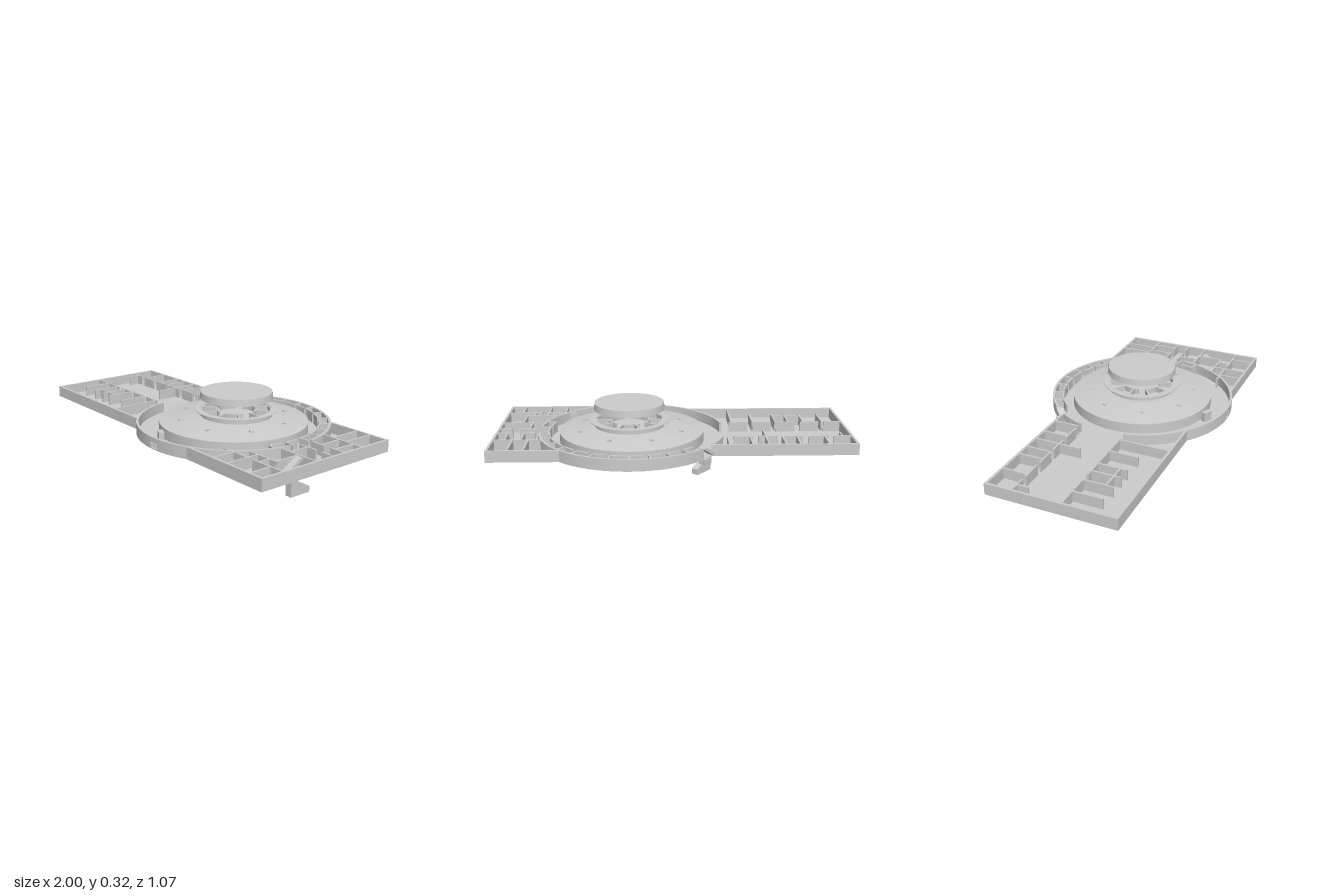
import * as THREE from 'three';

const mat = new THREE.MeshStandardMaterial({ color: 0xcccccc, side: THREE.DoubleSide });
const CX = 0.235, R = 0.533;            // centre and radius of the round hall
const FLOOR = 0.093, WALL_TOP = 0.157;  // slab underside and wall height
const rad = Math.PI / 180;

function add(parent, name, geo) {
  const mesh = new THREE.Mesh(geo, mat);
  mesh.name = name;
  parent.add(mesh);
  return mesh;
}

// Extrude a plan drawn in (x, -z) upwards from y0 to y1
function plan(parent, name, shape, y0, y1, curveSegments = 48) {
  const geo = new THREE.ExtrudeGeometry(shape, { depth: y1 - y0, bevelEnabled: false, curveSegments });
  geo.rotateX(-Math.PI / 2).translate(0, y0, 0);
  return add(parent, name, geo);
}

// Straight wall between two plan points (x, z)
function wall(parent, name, x1, z1, x2, z2, t = 0.01, y0 = FLOOR, y1 = WALL_TOP) {
  const geo = new THREE.BoxGeometry(Math.hypot(x2 - x1, z2 - z1), y1 - y0, t);
  const mesh = add(parent, name, geo);
  mesh.position.set((x1 + x2) / 2, (y0 + y1) / 2, (z1 + z2) / 2);
  mesh.rotation.y = -Math.atan2(z2 - z1, x2 - x1);
}

// Curved wall; angles in degrees, counter-clockwise from +x with the back at 90
function arcWall(parent, name, r, a0, a1, t = 0.012, y0 = FLOOR, y1 = WALL_TOP, cx = CX, cz = 0) {
  const s = new THREE.Shape();
  s.absarc(cx, -cz, r, a0 * rad, a1 * rad, false);
  s.absarc(cx, -cz, r - t, a1 * rad, a0 * rad, true);
  plan(parent, name, s, y0, y1);
}

function radialWall(parent, name, a, r0, r1, y0 = FLOOR, y1 = WALL_TOP, cx = CX, cz = 0) {
  const c = Math.cos(a * rad), s = Math.sin(a * rad);
  wall(parent, name, cx + r0 * c, cz - r0 * s, cx + r1 * c, cz - r1 * s, 0.01, y0, y1);
}

// Stair: lower flight below the slab, landing beside it, upper flight inside
function stair(parent, name, x, z, angle) {
  const g = new THREE.Group();
  g.name = name;
  const flight = (label, pts, zOff) => {
    const shape = new THREE.Shape(pts.map(p => new THREE.Vector2(...p)));
    const geo = new THREE.ExtrudeGeometry(shape, { depth: 0.037, bevelEnabled: false });
    add(g, label, geo.translate(0, 0, zOff));
  };
  flight('lowerFlight', [[0, 0], [0.12, 0], [0.12, 0.03], [0, 0.095]], 0);
  flight('landing', [[0.06, 0.065], [0.12, 0.065], [0.12, 0.095], [0.06, 0.095]], -0.046);
  flight('upperFlight', [[0, 0.095], [0.03, 0.095], [0.12, 0.15], [0.12, 0.157], [0.1, 0.157]], -0.046);
  g.position.set(x, 0, z);
  g.rotation.y = angle;
  parent.add(g);
}

export function createModel() {
  const model = new THREE.Group();
  model.name = 'building';

  // Floor slab: two offset wings joined by the round hall
  const WL = { back: -0.306, front: 0.41 }, WR = { back: -0.38, front: 0.487 };
  const dx = z => Math.sqrt(R * R - z * z);
  const ang = (z, side) => Math.atan2(-z, side * dx(z));
  const slab = new THREE.Shape();
  slab.moveTo(-1, -WL.front);
  slab.lineTo(CX - dx(WL.front), -WL.front);
  slab.absarc(CX, 0, R, ang(WL.front, -1), ang(WR.front, 1), false);
  slab.lineTo(1, -WR.front);
  slab.lineTo(1, -WR.back);
  slab.lineTo(CX + dx(WR.back), -WR.back);
  slab.absarc(CX, 0, R, ang(WR.back, 1), ang(WL.back, -1), false);
  slab.lineTo(-1, -WL.back);
  plan(model, 'floorSlab', slab, FLOOR, FLOOR + 0.006);

  // Outer walls of the wings
  const t = 0.014, h = t / 2;
  const outer = new THREE.Group();
  outer.name = 'wingOuterWalls';
  model.add(outer);
  for (const [w, s] of [[WL, -1], [WR, 1]]) {
    wall(outer, 'endWall', s * (1 - h), w.back, s * (1 - h), w.front, t);
    wall(outer, 'backWall', s, w.back + h, CX + s * dx(w.back), w.back + h, t);
    wall(outer, 'frontWall', s, w.front - h, CX + s * dx(w.front), w.front - h, t);
  }

  // Ring wall of the hall, open towards the corridors, entrance and back stair
  const hall = new THREE.Group();
  hall.name = 'roundHall';
  model.add(hall);
  for (const [a0, a1] of [[8, 137], [147, 163], [192, 267], [273, 352]])
    arcWall(hall, 'ringWall', R, a0, a1, t);
  wall(hall, 'entranceLintel', CX - 0.03, R - 0.007, CX + 0.03, R - 0.007, t, 0.132, WALL_TOP);
  for (const x of [-0.012, 0.012]) wall(hall, 'entranceDoor', CX + x, 0.5, CX + x, 0.528, 0.006, FLOOR, 0.125);

  // Inner ring of rooms along the back
  for (let a = -18; a < 130; a += 12) {
    arcWall(hall, 'innerRingWall', 0.475, a, a + 9, 0.01);
    radialWall(hall, 'roomDivider', a, 0.47, 0.525);
  }
  const kiosk = add(hall, 'kiosk', new THREE.BoxGeometry(0.055, 0.055, 0.028));
  kiosk.position.set(0.157, 0.125, 0.432);
  kiosk.rotation.y = -0.45;

  // Left wing: corridor between two rows of rooms
  const left = new THREE.Group();
  left.name = 'leftWingRooms';
  model.add(left);
  for (let i = 0; i < 5; i++) {
    const x = -1 + i * 0.14;
    wall(left, 'frontCorridorWall', x, 0.115, x + 0.11, 0.115);
    wall(left, 'backCorridorWall', x, -0.155, x + 0.11, -0.155);
  }
  for (const x of [-0.88, -0.77, -0.68, -0.605, -0.47]) wall(left, 'frontDivider', x, 0.115, x, 0.28);
  wall(left, 'frontDivider', -0.345, 0.115, -0.345, 0.405);
  wall(left, 'frontRoomWall', -0.77, 0.24, -0.605, 0.24);
  for (const x of [-0.84, -0.685, -0.605, -0.425, -0.3]) wall(left, 'backDivider', x, -0.3, x, -0.155);
  wall(left, 'backDivider', -0.513, -0.3, -0.513, -0.03);
  wall(left, 'corridorScreen', -0.94, -0.155, -0.94, -0.09);

  // Right wing: smaller rooms
  const right = new THREE.Group();
  right.name = 'rightWingRooms';
  model.add(right);
  const rightWalls = [
    [0.73, -0.19, 0.99, -0.19], [0.78, -0.06, 0.86, -0.06], [0.9, -0.06, 0.99, -0.06],
    [0.77, 0.02, 0.88, 0.02], [0.92, 0.02, 0.99, 0.02], [0.76, 0.135, 0.99, 0.135],
    [0.69, 0.283, 0.875, 0.283], [0.58, 0.35, 0.75, 0.35], [0.79, 0.35, 0.99, 0.35],
    [0.8, -0.375, 0.8, -0.19], [0.885, -0.375, 0.885, -0.19], [0.84, -0.19, 0.84, -0.06],
    [0.93, -0.19, 0.93, -0.06], [0.82, 0.02, 0.82, 0.135], [0.875, 0.135, 0.875, 0.283],
    [0.65, 0.35, 0.65, 0.48], [0.75, 0.283, 0.75, 0.48], [0.83, 0.283, 0.83, 0.35], [0.91, 0.35, 0.91, 0.48],
  ];
  for (const w of rightWalls) wall(right, 'roomWall', ...w);

  // Stairs down to the ground
  stair(model, 'rightStair', 0.93, 0.27, Math.PI / 2);
  stair(model, 'backStair', -0.2, -0.252, 0.88);

  // Shallow conical roof with its skirt and small skylights
  const roof = new THREE.Group();
  roof.name = 'conicalRoof';
  model.add(roof);
  arcWall(roof, 'roofSkirt', 0.41, 0, 359.99, 0.012);
  const profile = [[0.41, 0.155], [0.41, 0.16], [0.21, 0.187]].map(p => new THREE.Vector2(...p));
  add(roof, 'roofCone', new THREE.LatheGeometry(profile, 80)).position.x = CX;
  const deck = add(roof, 'roofDeck', new THREE.CircleGeometry(0.212, 64).rotateX(-Math.PI / 2));
  deck.position.set(CX, 0.187, 0);
  for (let i = 0; i < 8; i++) {
    const a = (i + 0.5) * Math.PI / 4;
    const light = add(roof, 'skylight', new THREE.BoxGeometry(0.02, 0.014, 0.02));
    light.position.set(CX + 0.3 * Math.cos(a), 0.174, -0.3 * Math.sin(a));
    light.rotation.y = a;
  }

  // Upper drum with brim and rooms, and the cap floating above
  const DX = 0.248, DZ = -0.01;
  const drum = new THREE.Group();
  drum.name = 'upperDrum';
  model.add(drum);
  arcWall(drum, 'drumWall', 0.197, 0, 359.99, 0.012, 0.185, 0.218, DX, DZ);
  arcWall(drum, 'drumBrim', 0.226, 0, 359.99, 0.03, 0.217, 0.22, DX, DZ);
  for (let a = 0; a < 360; a += 36) radialWall(drum, 'drumDivider', a, 0.11, 0.19, 0.187, 0.218, DX, DZ);
  for (let a = 0; a < 360; a += 72) arcWall(drum, 'drumInnerWall', 0.115, a, a + 50, 0.01, 0.187, 0.218, DX, DZ);
  const cap = add(model, 'cap', new THREE.CylinderGeometry(0.196, 0.2, 0.037, 64));
  cap.position.set(DX, 0.301, DZ);

  return model;
}
